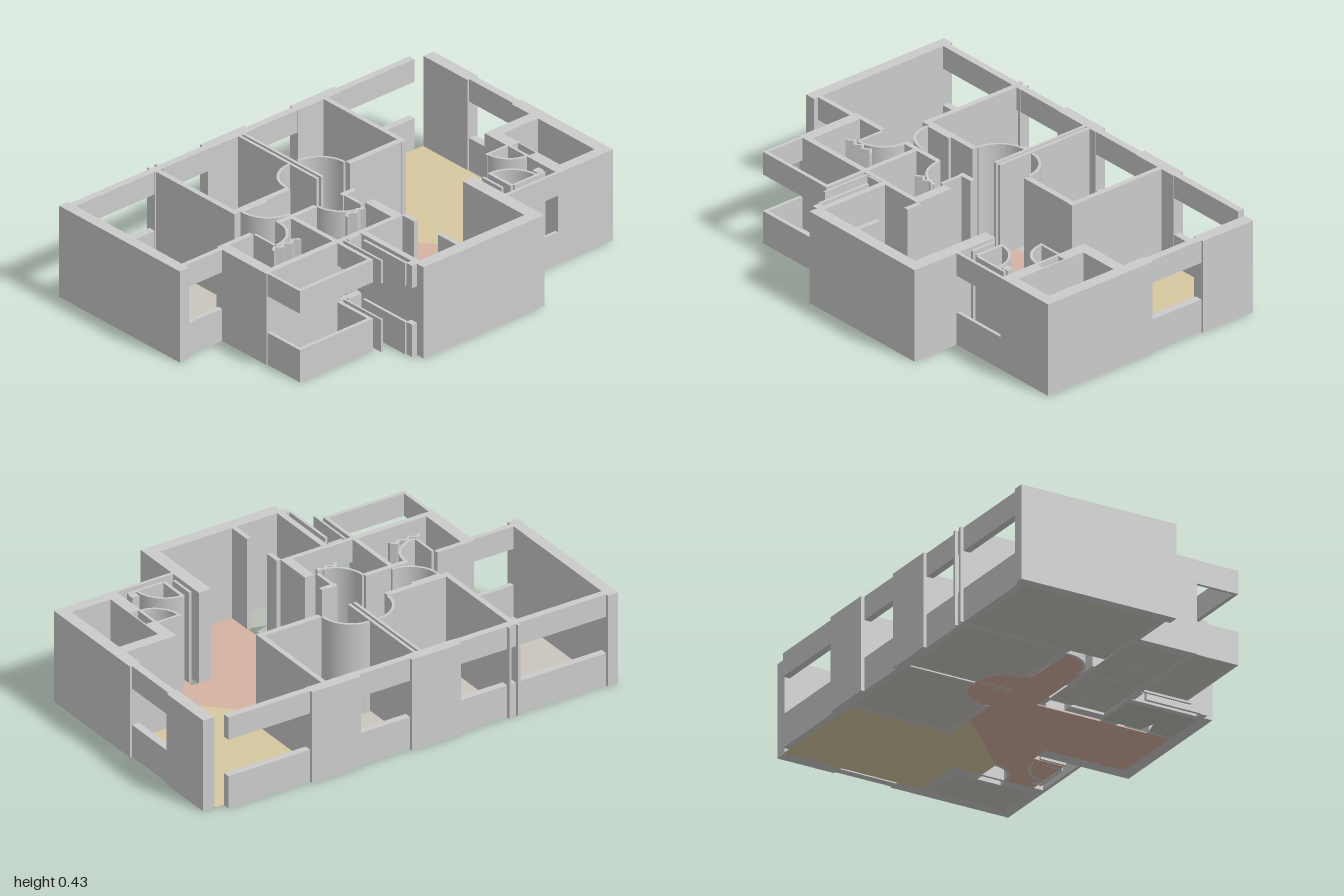
import * as THREE from 'three';

const H = 0.425, SILL = 0.15, HEAD = 0.32, FLOOR = 0.004;

const mat = (color) => new THREE.MeshStandardMaterial({ color });

export function createModel() {
  const model = new THREE.Group();
  model.name = 'apartment';
  const wallMat = mat(0xcccccc);

  // Adds a box by plan limits (x0..x1, z0..z1) and height limits
  function box(name, x0, x1, z0, z1, y0 = 0, y1 = H) {
    const mesh = new THREE.Mesh(new THREE.BoxGeometry(x1 - x0, y1 - y0, z1 - z0), wallMat);
    mesh.position.set((x0 + x1) / 2, (y0 + y1) / 2, (z0 + z1) / 2);
    mesh.name = name;
    model.add(mesh);
  }

  // Parapet and lintel with an open band between them
  function windowWall(name, x0, x1, z0, z1) {
    box(name + 'Sill', x0, x1, z0, z1, 0, SILL);
    box(name + 'Lintel', x0, x1, z0, z1, HEAD, H);
  }

  // Raises a plan outline (x, z) to a given height
  function raise(name, shape, height, material) {
    const geo = new THREE.ExtrudeGeometry(shape, { depth: height, bevelEnabled: false, curveSegments: 14 });
    geo.rotateX(Math.PI / 2).translate(0, height, 0);
    const mesh = new THREE.Mesh(geo, material);
    mesh.name = name;
    model.add(mesh);
  }

  const outline = (pts) => new THREE.Shape(pts.map(([x, z]) => new THREE.Vector2(x, z)));

  // Quarter-circle screen following a door swing; angles in quarter turns from +x toward +z
  function swing(x, z, r, quarter) {
    const a = quarter * Math.PI / 2, b = a + Math.PI / 2, t = 0.012;
    const s = new THREE.Shape();
    s.absarc(x, z, r, a, b, false);
    s.absarc(x, z, r - t, b, a, true);
    s.closePath();
    raise('doorSwing', s, H, wallMat);
  }

  // Outer walls
  box('westWall', -1, -0.95, -0.69, 0.05);
  box('eastWallBack', 0.945, 1, -0.64, -0.37);
  windowWall('eastWindow', 0.955, 0.99, -0.37, -0.1);
  box('eastWallFront', 0.945, 1, -0.1, 0.46);

  // Back wall: windows between full-height piers
  [[-0.95, -0.23], [0.01, 0.26], [0.5, 0.9]].forEach(([a, b]) =>
    windowWall('backWindow', a, b, -0.675, -0.643));
  [[-0.23, 0.01], [0.26, 0.5]].forEach(([a, b]) => box('backPier', a, b, -0.69, -0.64));
  [-0.52, -0.478].forEach((x) => box('backMullion', x, x + 0.012, -0.69, -0.64));

  // Bedroom partitions
  box('bedroomPartition', -0.515, -0.49, -0.645, -0.16);
  box('bedroomPartition', -0.067, -0.053, -0.645, -0.16);
  box('bedroomPartition', -0.042, -0.028, -0.645, -0.16);
  box('bedroomPartition', 0.4, 0.423, -0.645, -0.16);
  box('hallWall', -0.515, -0.205, -0.19, -0.163);
  box('hallWall', 0.12, 0.423, -0.19, -0.163);

  // Bathroom block and its walls
  windowWall('westRoomWindow', -0.95, -0.75, 0.005, 0.028);
  [[-0.75, -0.57], [-0.43, -0.22], [-0.08, -0.005]].forEach(([a, b]) =>
    box('bathBackWall', a, b, -0.005, 0.018));
  box('bathSideWall', -0.75, -0.7, 0.015, 0.3);
  box('bathPartition', -0.365, -0.343, 0.015, 0.3);
  box('bathFrontWall', -0.7, -0.365, 0.273, 0.3);
  windowWall('bathWindow', -0.343, -0.23, 0.278, 0.298);
  box('bathEastWall', -0.05, -0.005, 0.12, 0.3);
  box('bathEastWall', -0.075, -0.06, 0.018, 0.12);

  // Balcony parapet and overhead band on three sides
  windowWall('balconyLeft', -0.745, -0.73, 0.3, 0.5);
  windowWall('balconyRight', -0.362, -0.345, 0.3, 0.5);
  windowWall('balconyFront', -0.73, -0.362, 0.482, 0.5);

  // Narrow shaft screens beside the utility room
  windowWall('shaftScreen', -0.328, -0.318, 0.3, 0.53);
  windowWall('shaftScreen', -0.31, -0.24, 0.3, 0.31);
  windowWall('shaftScreen', -0.268, -0.255, 0.35, 0.61);
  windowWall('shaftScreen', -0.262, -0.235, 0.61, 0.645);

  // Utility room and living room
  box('utilityBackWall', -0.235, -0.005, 0.28, 0.303);
  box('utilityWestWall', -0.235, -0.208, 0.3, 0.685);
  box('utilityPartition', -0.008, 0.014, 0.3, 0.372);
  box('utilityPartition', -0.008, 0.014, 0.52, 0.635);
  box('frontWall', -0.235, 0.425, 0.63, 0.685);
  box('livingEastWall', 0.365, 0.425, 0.255, 0.685);

  // Entry recess
  windowWall('entryWindow', 0.425, 0.7, 0.445, 0.46);
  box('entryPost', 0.445, 0.457, 0.28, 0.4);
  box('entryWall', 0.485, 0.5, 0.27, 0.41);
  box('entryWall', 0.5, 0.67, 0.405, 0.418);
  box('entryPost', 0.64, 0.675, 0.37, 0.4);

  // East room
  box('eastRoomBackWall', 0.7, 0.945, 0.01, 0.062);
  box('eastRoomFrontWall', 0.7, 0.945, 0.41, 0.46);
  box('eastRoomWestWall', 0.7, 0.755, 0.062, 0.16);
  box('eastRoomWestWall', 0.7, 0.755, 0.27, 0.41);
  box('eastRoomDoorPanel', 0.7, 0.713, 0.16, 0.27);
  box('eastRoomDoorPanel', 0.748, 0.755, 0.16, 0.27);

  // Door swings and open door leaves
  swing(-0.068, -0.19, 0.142, 2);
  swing(-0.022, -0.19, 0.142, 3);
  swing(-0.34, -0.15, 0.142, 1);
  swing(-0.56, 0.01, 0.142, 0);
  swing(-0.08, 0.01, 0.142, 1);
  swing(0.71, 0.15, 0.122, 1);
  swing(0.49, 0.41, 0.142, 3);
  box('doorLeaf', -0.568, -0.556, 0.018, 0.14);
  box('doorLeaf', -0.48, -0.34, -0.163, -0.151);
  box('doorLeaf', 0.585, 0.7, 0.142, 0.154);

  // Scalloped screens in the bathrooms
  [[-0.6, 0.155, 6], [-0.185, 0.14, 4]].forEach(([x, z, n]) => {
    const pts = [];
    const edge = (i) => [x + i * 0.0125, z + 0.01 * Math.cos(i * Math.PI / 2)];
    for (let i = 0; i <= n * 2; i++) pts.push(edge(i));
    for (let i = n * 2; i >= 0; i--) pts.push([edge(i)[0], edge(i)[1] + 0.014]);
    raise('scallopedScreen', outline(pts), H, wallMat);
  });

  // Plain room floors
  const roomMat = mat(0xcac5bc);
  const rect = (a, b, c, d) => outline([[a, c], [b, c], [b, d], [a, d]]);
  [
    ['westRoomFloor', -0.95, -0.51, -0.645, 0.005],
    ['middleRoomFloor', -0.492, -0.063, -0.645, -0.185],
    ['rightRoomFloor', -0.032, 0.402, -0.645, -0.185],
    ['bathFloor', -0.7, -0.36, 0.01, 0.275],
    ['bathFloor', -0.345, -0.07, 0.01, 0.275],
    ['balconyFloor', -0.735, -0.355, 0.3, 0.485],
    ['eastRoomFloor', 0.755, 0.945, 0.06, 0.41],
  ].forEach(([name, ...r]) => raise(name, rect(...r), FLOOR, roomMat));

  // Utility floor with a notch at its doorway
  raise('utilityFloor', outline([[-0.21, 0.3], [-0.008, 0.3], [-0.008, 0.48], [-0.08, 0.5],
    [-0.008, 0.52], [-0.008, 0.63], [-0.21, 0.63]]), FLOOR, mat(0xb9beb5));

  // Hall and living floor, including the door sweeps
  const hall = new THREE.Shape();
  hall.moveTo(-0.34, -0.008);
  hall.absarc(-0.34, -0.15, 0.14, Math.PI / 2, Math.PI, false);
  hall.lineTo(-0.208, -0.16);
  hall.lineTo(-0.208, -0.19);
  hall.absarc(-0.068, -0.19, 0.14, Math.PI, Math.PI * 1.5, false);
  hall.lineTo(-0.022, -0.33);
  hall.absarc(-0.022, -0.19, 0.14, Math.PI * 1.5, Math.PI * 2, false);
  [[0.118, -0.163], [0.27, -0.163], [0.585, 0.15]].forEach((p) => hall.lineTo(...p));
  hall.absarc(0.71, 0.15, 0.122, Math.PI, Math.PI / 2, true);
  [[0.705, 0.4], [0.46, 0.4], [0.46, 0.255], [0.365, 0.255], [0.365, 0.63], [0.01, 0.63],
    [0.01, -0.003], [-0.34, -0.003]].forEach((p) => hall.lineTo(...p));
  raise('hallFloor', hall, FLOOR, mat(0xd5b2a2));

  // Dining floor with the diagonal edge
  raise('diningFloor', outline([[0.423, -0.643], [0.945, -0.643], [0.945, 0.01], [0.702, 0.01],
    [0.702, 0.15], [0.585, 0.15], [0.27, -0.163], [0.423, -0.163]]), FLOOR, mat(0xd6c8a0));

  return model;
}
